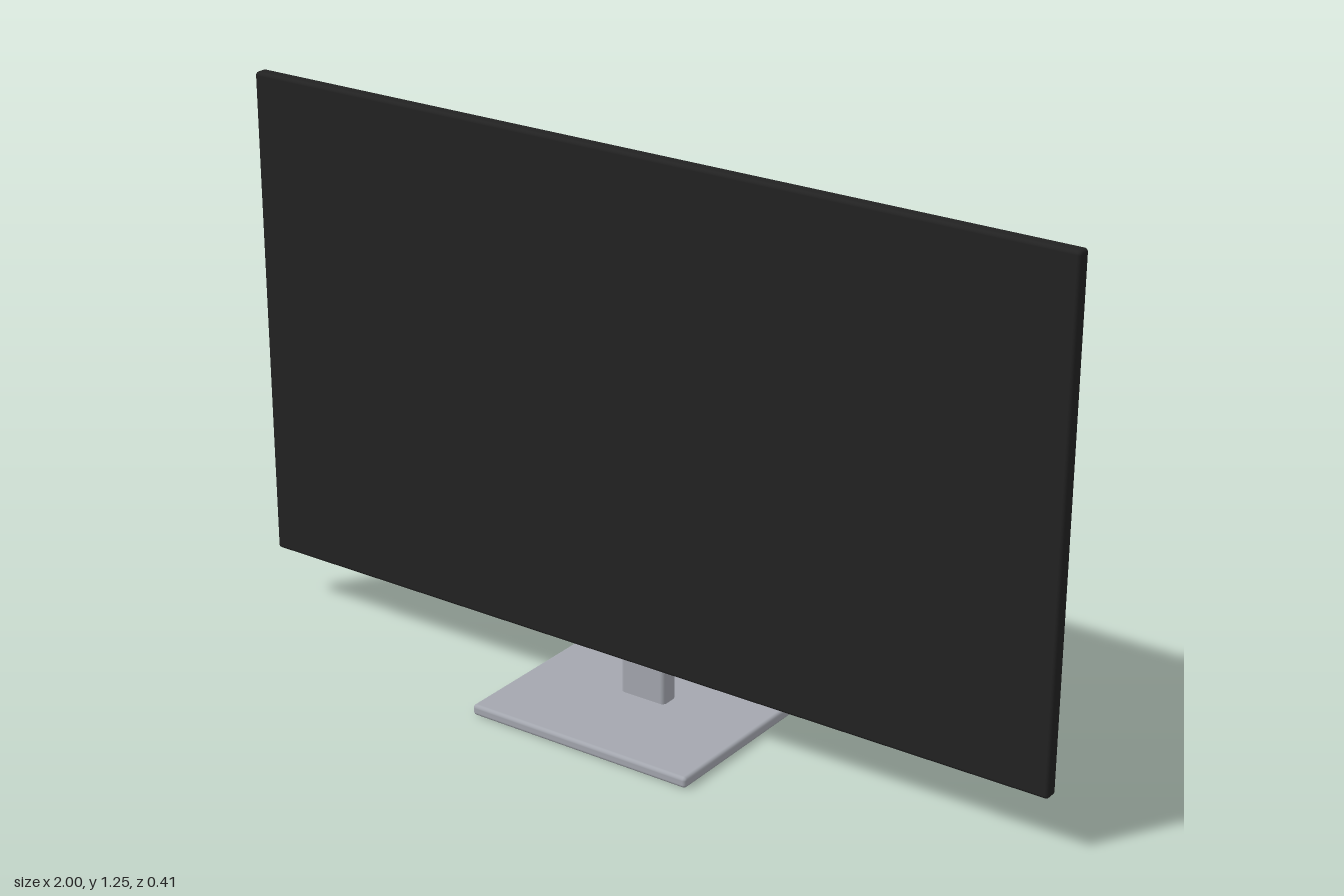
import * as THREE from 'three';
import { RoundedBoxGeometry } from 'three/addons/geometries/RoundedBoxGeometry.js';

export function createModel() {
  const model = new THREE.Group();
  model.name = 'monitor';

  const black = new THREE.MeshStandardMaterial({ color: 0x222222 });
  black.name = 'black plastic';
  const silver = new THREE.MeshStandardMaterial({ color: 0xa4a7af });
  silver.name = 'silver metal';

  // Rounded box given by its [min, max] extent on each axis
  function addBox(name, material, x, y, z, radius, segments = 4) {
    const size = [x, y, z].map(([a, b]) => b - a);
    const mesh = new THREE.Mesh(new RoundedBoxGeometry(...size, segments, radius), material);
    mesh.position.set(...[x, y, z].map(([a, b]) => (a + b) / 2));
    mesh.name = name;
    model.add(mesh);
  }

  // Thin display panel and the softly rounded electronics housing behind it
  addBox('screenPanel', black, [-1, 1], [0.125, 1.255], [-0.025, 0.008], 0.008);
  addBox('backHousing', black, [-0.583, 0.583], [0.263, 0.911], [-0.08, -0.022], 0.028, 6);

  // Stand: neck runs up into the housing, flat plate below
  addBox('standNeck', silver, [-0.057, 0.057], [0.015, 0.36], [-0.079, -0.033], 0.01);
  addBox('standBase', silver, [-0.277, 0.277], [0, 0.025], [-0.203, 0.203], 0.008);

  return model;
}
